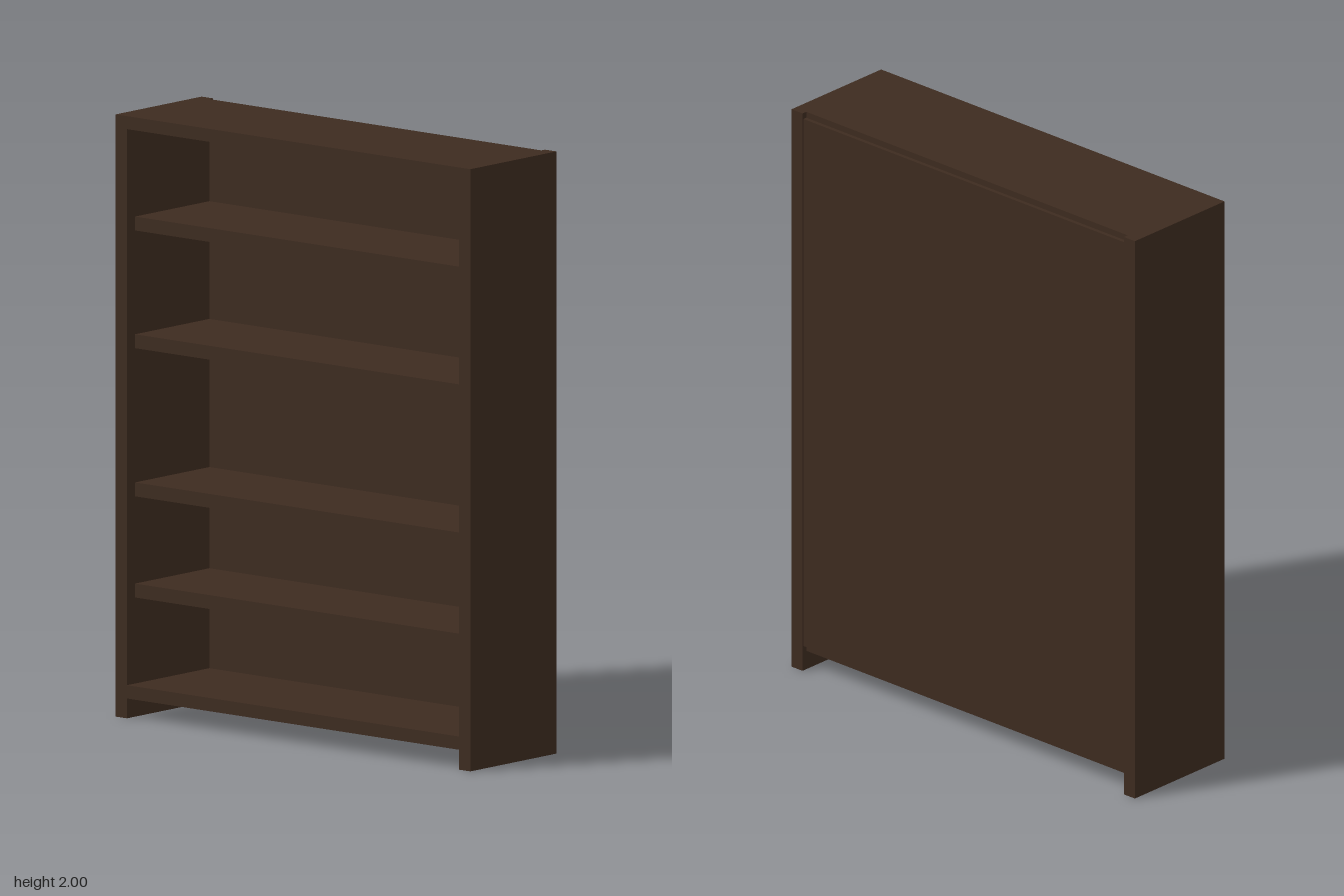
import * as THREE from 'three';

export function createModel() {
  const model = new THREE.Group();
  model.name = 'bookcase';

  const darkWood = new THREE.MeshStandardMaterial({ color: 0x3d2b1f });
  darkWood.name = 'darkWood';

  // Adds a board spanning the given ranges
  function board(name, [x0, x1], [y0, y1], [z0, z1]) {
    const mesh = new THREE.Mesh(new THREE.BoxGeometry(x1 - x0, y1 - y0, z1 - z0), darkWood);
    mesh.position.set((x0 + x1) / 2, (y0 + y1) / 2, (z0 + z1) / 2);
    mesh.name = name;
    model.add(mesh);
  }

  const outer = 0.766, inner = 0.717, front = 0.215, rear = -0.197;
  const span = [-inner, inner];

  // Side panels reach the floor and form the feet
  board('leftSide', [inner, outer], [0, 2], [-front, front]);
  board('rightSide', [-outer, -inner], [0, 2], [-front, front]);

  // Top and bottom boards, flush with the front
  board('topBoard', span, [1.957, 2], [rear, front]);
  board('bottomBoard', span, [0.066, 0.11], [rear, front]);

  // Back panel overlaps half the thickness of the top and bottom boards
  board('backPanel', span, [0.088, 1.979], [-0.211, rear]);

  // Shelves, set back slightly from the front
  [0.396, 0.732, 1.224, 1.615].forEach((y, i) => {
    board(`shelf${i + 1}`, span, [y, y + 0.046], [rear, front - 0.04]);
  });

  return model;
}
